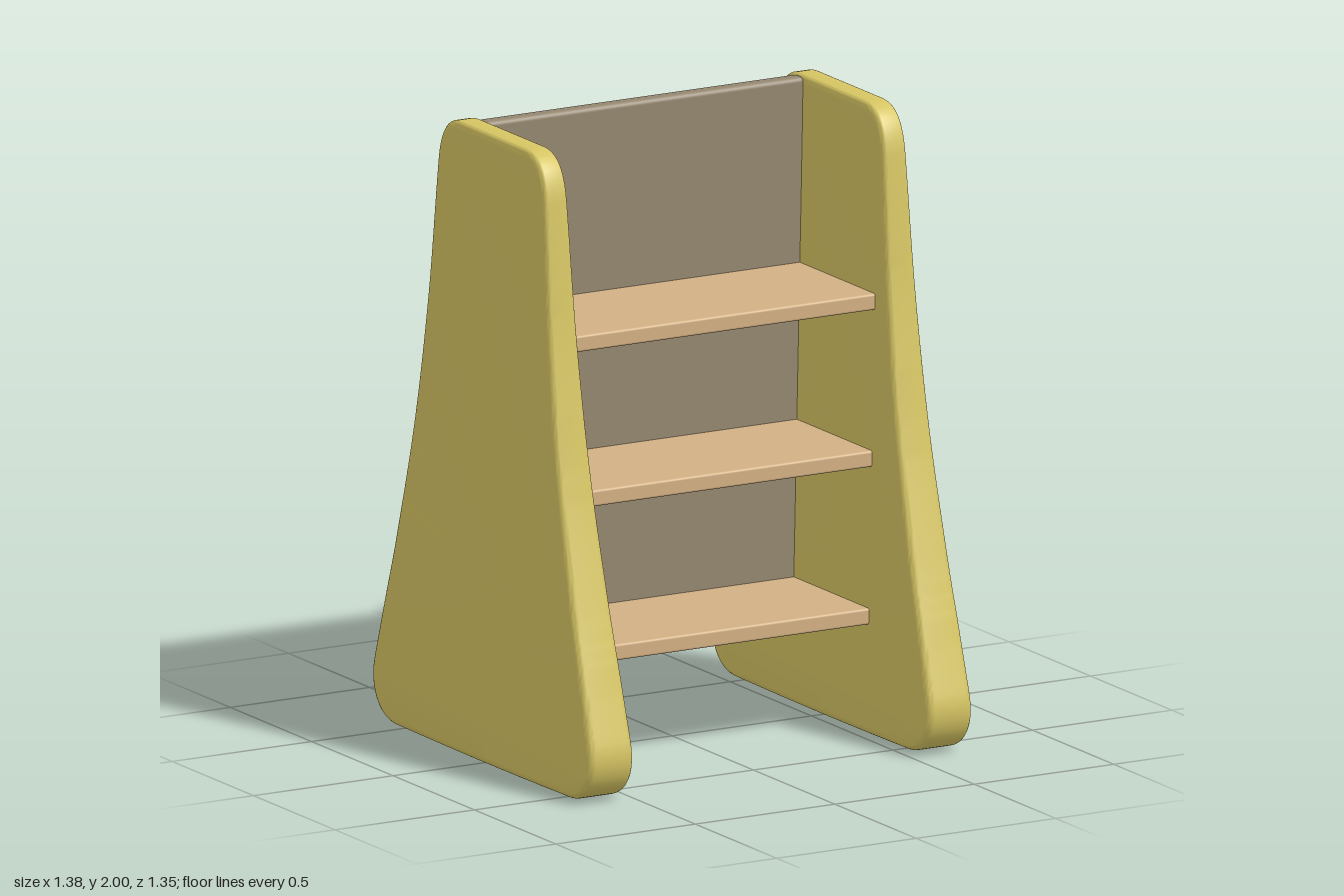
import * as THREE from 'three';
import { RoundedBoxGeometry } from 'three/addons/geometries/RoundedBoxGeometry.js';
import { toCreasedNormals } from 'three/addons/utils/BufferGeometryUtils.js';

const material = (color) => new THREE.MeshStandardMaterial({ color });

// Flared side panel: rounded outline, thick at the foot and thin at the top
function sidePanelGeometry() {
  const flank = [[0.668, 0.2], [0.61, 0.4], [0.545, 0.62], [0.45, 1.0], [0.382, 1.4], [0.342, 1.77], [0.332, 1.86]];
  const points = (s) => flank.map(([z, y]) => new THREE.Vector2(s * z, y));
  const outline = new THREE.Shape();
  outline.moveTo(-0.54, 0.004);
  outline.quadraticCurveTo(0, -0.004, 0.54, 0.004);
  outline.bezierCurveTo(0.63, 0.01, 0.7, 0.09, 0.668, 0.2);
  outline.splineThru(points(1).slice(1));
  outline.bezierCurveTo(0.32, 1.95, 0.28, 2, 0.2, 2);
  outline.lineTo(-0.2, 2);
  outline.bezierCurveTo(-0.28, 2, -0.32, 1.95, -0.332, 1.86);
  outline.splineThru(points(-1).reverse().slice(1));
  outline.bezierCurveTo(-0.7, 0.09, -0.63, 0.01, -0.54, 0.004);

  const bevel = 0.025;
  const geometry = new THREE.ExtrudeGeometry(outline, {
    depth: 2 - 2 * 0.3, bevelEnabled: true, bevelThickness: 0.3,
    bevelSize: bevel, bevelOffset: -bevel, bevelSegments: 5, curveSegments: 10,
  });
  geometry.translate(0, 0, -0.7);
  geometry.rotateY(-Math.PI / 2);

  // Scale the unit thickness by height
  const p = geometry.attributes.position;
  for (let i = 0; i < p.count; i++) {
    p.setX(i, p.getX(i) * (0.083 - 0.0215 * p.getY(i)));
  }
  return toCreasedNormals(geometry, 0.7);
}

export function createModel() {
  const group = new THREE.Group();
  const add = (name, geometry, mat, x, y, z) => {
    const mesh = new THREE.Mesh(geometry, mat);
    mesh.name = name;
    mesh.position.set(x, y, z);
    group.add(mesh);
  };

  // Side panels
  const panel = sidePanelGeometry();
  const yellow = material(0xd6c563);
  add('leftSidePanel', panel, yellow, 0.607, 0, 0);
  add('rightSidePanel', panel, yellow, -0.607, 0, 0);

  // Shelves running between the panels
  const shelf = new RoundedBoxGeometry(1.15, 0.052, 0.596, 3, 0.008);
  const wood = material(0xd2b083);
  [0.378, 0.88, 1.38].forEach((y, i) => add(`shelf${i + 1}`, shelf, wood, 0, y, 0));

  // Upright back board crossing the shelves
  add('backBoard', new RoundedBoxGeometry(1.15, 1.65, 0.055, 4, 0.016), material(0x94866f), 0, 1.17, -0.192);

  return group;
}
